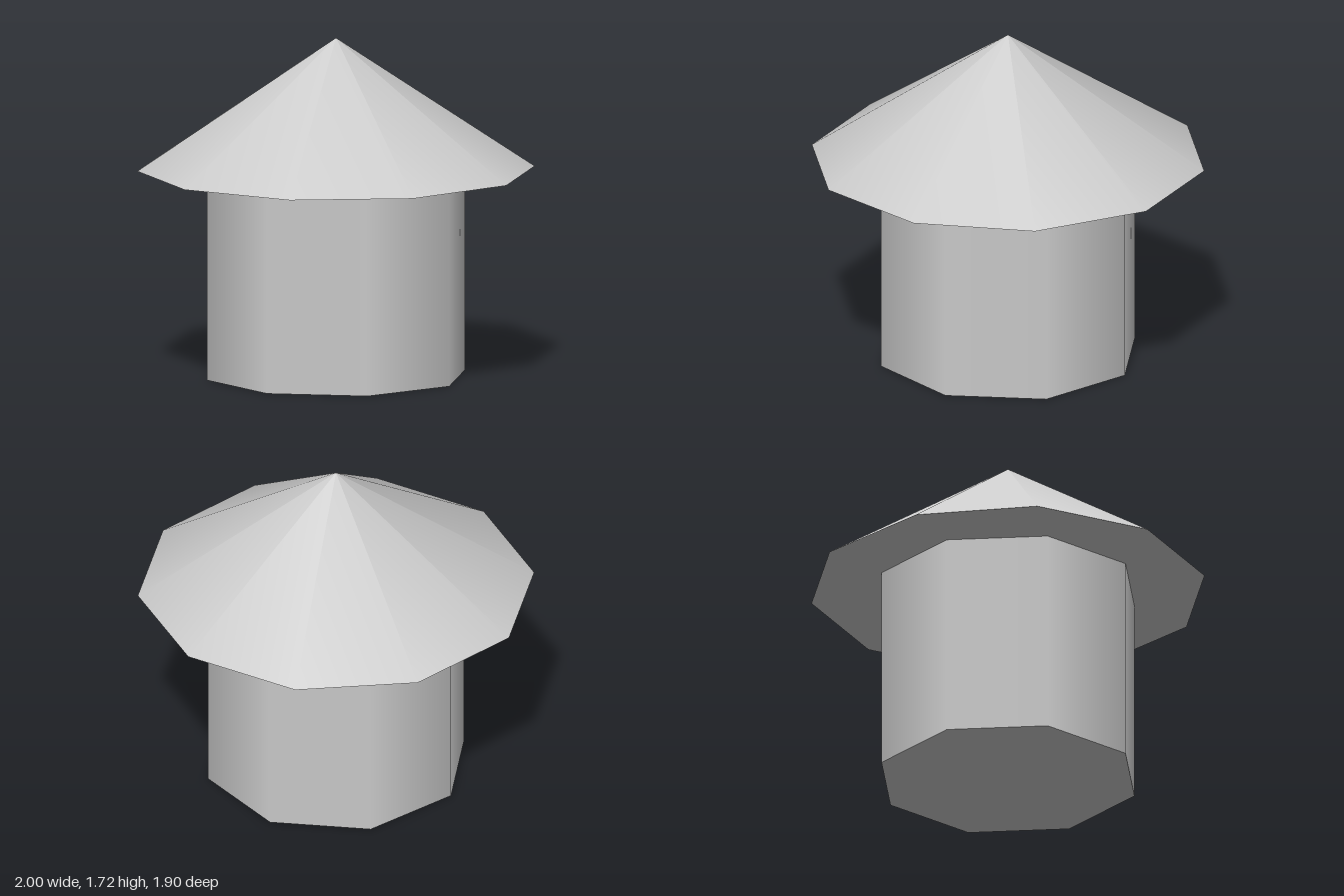
import * as THREE from 'three';

const BODY_RADIUS = 0.665, BODY_HEIGHT = 1.05;
const ROOF_RADIUS = 1, ROOF_HEIGHT = 0.665;

export function createModel() {
  const group = new THREE.Group();
  group.name = 'roundHut';
  const material = new THREE.MeshStandardMaterial({ color: 0xcccccc });

  // Eight-sided wall, smooth shaded, corners on the x and z axes
  const wall = new THREE.Mesh(
    new THREE.CylinderGeometry(BODY_RADIUS, BODY_RADIUS, BODY_HEIGHT, 8), material);
  wall.name = 'wall';
  wall.position.y = BODY_HEIGHT / 2;
  group.add(wall);

  // Ten-sided conical roof with a flat underside, corners on the x axis
  const roof = new THREE.Mesh(
    new THREE.ConeGeometry(ROOF_RADIUS, ROOF_HEIGHT, 10), material);
  roof.name = 'roof';
  roof.position.y = BODY_HEIGHT + ROOF_HEIGHT / 2;
  roof.rotation.y = Math.PI / 10;
  group.add(roof);

  return group;
}
